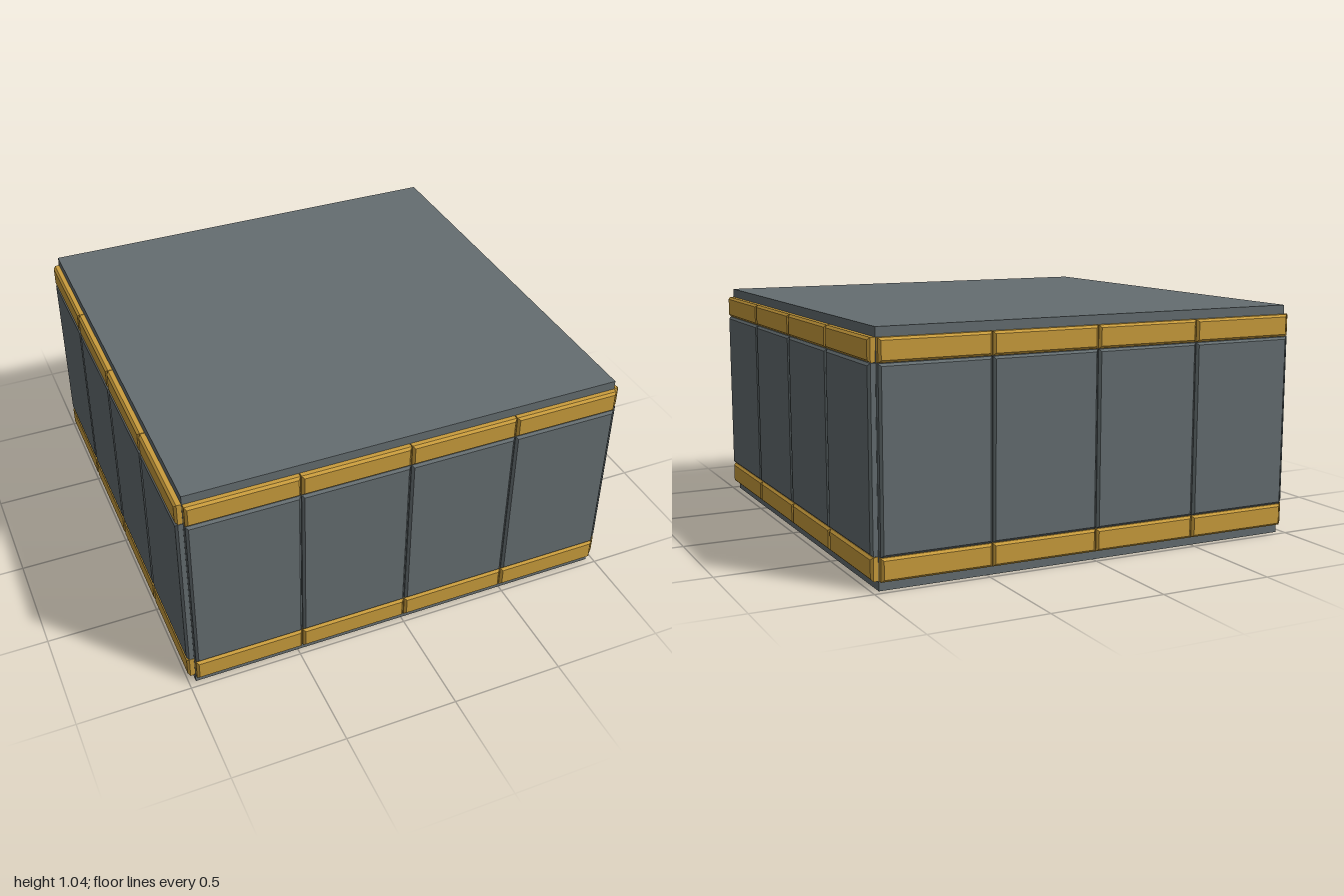
import * as THREE from 'three';

const grey = new THREE.MeshStandardMaterial({ color: 0x646d70 });
grey.name = 'slate grey';
const gold = new THREE.MeshStandardMaterial({ color: 0xc99c3c });
gold.name = 'ochre gold';

const HALF = 0.97;   // half width of the core
const PITCH = 0.485; // width of one panel bay
const OUT = 0.03;    // how far panels stand out from the core

// Slab with chamfered edges; its outer face lies at z = OUT, its back sinks into the core
function panelGeometry(width, height, chamfer) {
  const w = width / 2 - chamfer, h = height / 2 - chamfer;
  const shape = new THREE.Shape([
    new THREE.Vector2(-w, -h), new THREE.Vector2(w, -h),
    new THREE.Vector2(w, h), new THREE.Vector2(-w, h),
  ]);
  const depth = 0.04;
  const geo = new THREE.ExtrudeGeometry(shape, {
    depth, bevelEnabled: true, bevelSegments: 1, bevelSize: chamfer, bevelThickness: chamfer,
  });
  geo.translate(0, 0, OUT - depth - chamfer);
  return geo;
}

export function createModel() {
  const model = new THREE.Group();
  model.name = 'panelledBlock';

  // Solid core, showing as the top and bottom plates
  const core = new THREE.Mesh(new THREE.BoxGeometry(HALF * 2, 1.036, HALF * 2), grey);
  core.name = 'core';
  core.position.y = 0.518;
  model.add(core);

  // Rows of each wall: lower trim, main panel, upper trim
  const rows = [
    { name: 'lowerTrim', from: 0.04, to: 0.137, material: gold },
    { name: 'wallPanel', from: 0.139, to: 0.897, material: grey },
    { name: 'upperTrim', from: 0.899, to: 0.996, material: gold },
  ];
  for (const row of rows) row.geometry = panelGeometry(PITCH - 0.004, row.to - row.from, 0.01);

  // Four equal walls of four bays
  ['front', 'left', 'back', 'right'].forEach((side, k) => {
    const wall = new THREE.Group();
    wall.name = side + 'Wall';
    wall.rotation.y = k * Math.PI / 2;
    for (let i = 0; i < 4; i++) {
      for (const row of rows) {
        const mesh = new THREE.Mesh(row.geometry, row.material);
        mesh.name = row.name;
        mesh.position.set((i - 1.5) * PITCH, (row.from + row.to) / 2, HALF);
        wall.add(mesh);
      }
    }
    model.add(wall);
  });

  return model;
}
